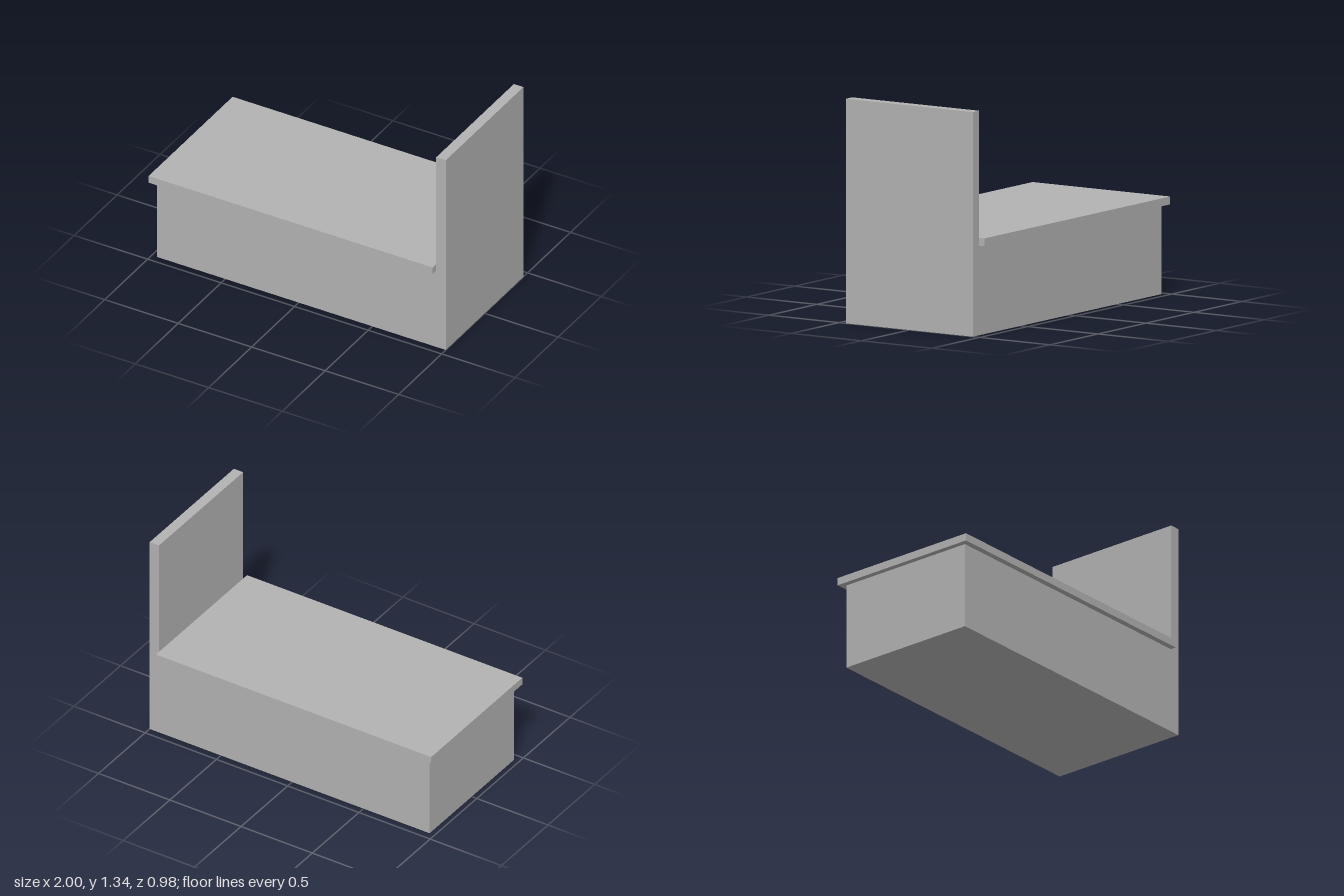
import * as THREE from 'three';

export function createModel() {
  const model = new THREE.Group();
  model.name = 'benchWithTallBack';
  const grey = new THREE.MeshStandardMaterial({ color: 0xb2b2b2 });
  grey.name = 'plain grey';

  // Base block and upright back, one L-shaped profile extruded across the depth
  const depth = 0.904;
  const profile = new THREE.Shape([
    [-0.965, 0], [1, 0], [1, 1.335], [0.935, 1.335], [0.935, 0.532], [-0.965, 0.532],
  ].map(([x, y]) => new THREE.Vector2(x, y)));
  const bodyGeometry = new THREE.ExtrudeGeometry(profile, { depth, bevelEnabled: false });
  bodyGeometry.translate(0, 0, -depth / 2);
  const body = new THREE.Mesh(bodyGeometry, grey);
  body.name = 'baseAndBack';

  // Overhanging top slab
  const slab = new THREE.Mesh(new THREE.BoxGeometry(1.932, 0.047, 0.978), grey);
  slab.name = 'topSlab';
  slab.position.set(-0.034, 0.5555, 0);

  model.add(body, slab);
  return model;
}
